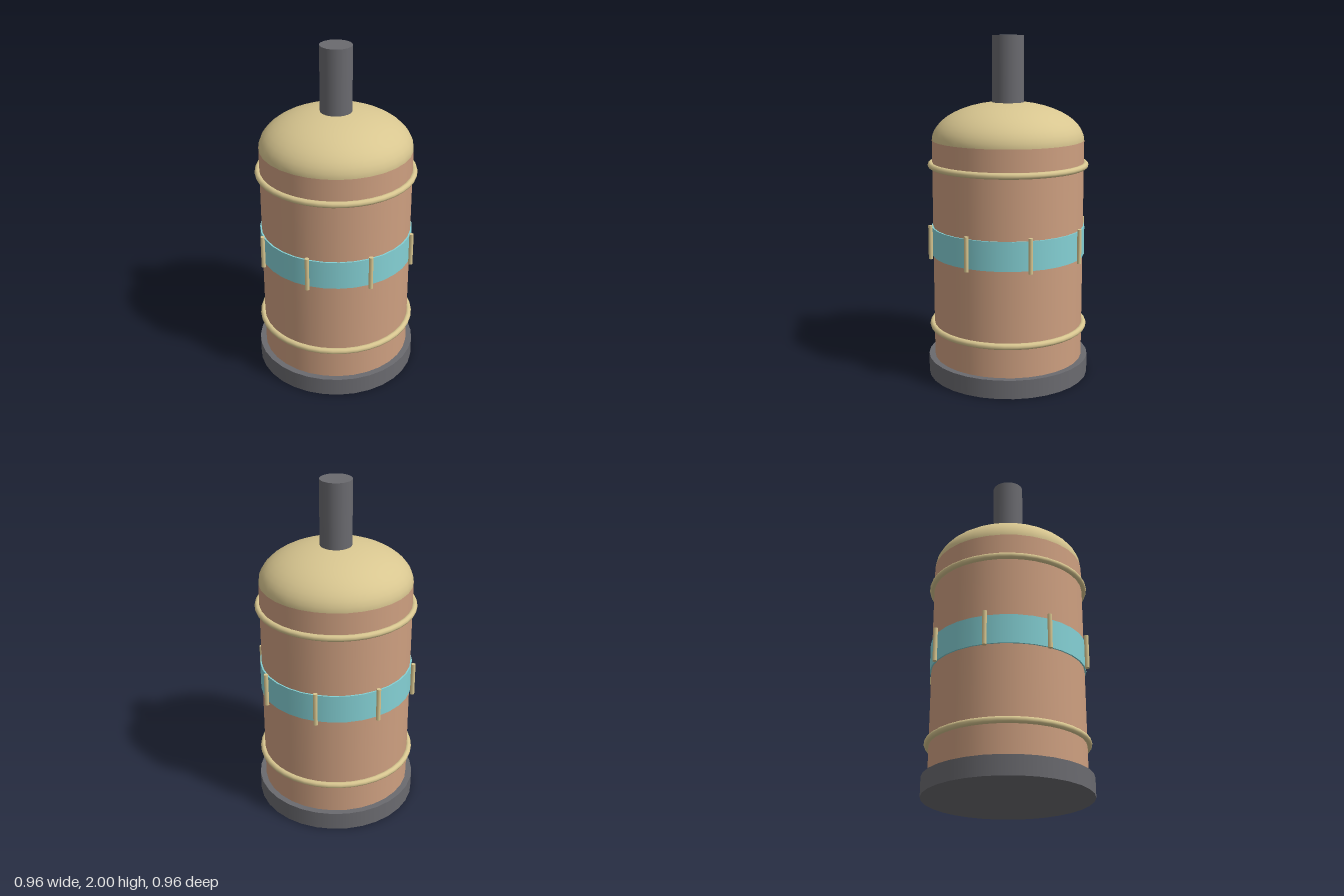
import * as THREE from 'three';

const material = (name, color) => {
  const m = new THREE.MeshStandardMaterial({ color });
  m.name = name;
  return m;
};

export function createModel() {
  const copper = material('copper', 0xcd9f80);
  const brass = material('brass', 0xd8c690);
  const glass = material('teal glass', 0x84d0d4);
  const iron = material('dark iron', 0x6a6a6f);

  const group = new THREE.Group();
  group.name = 'boilerTank';
  const add = (name, geometry, mat, x = 0, y = 0, z = 0) => {
    const mesh = new THREE.Mesh(geometry, mat);
    mesh.name = name;
    mesh.position.set(x, y, z);
    group.add(mesh);
    return mesh;
  };
  // Upright cylinder spanning y0 to y1
  const drum = (name, r, y0, y1, sides, mat, x = 0, z = 0) =>
    add(name, new THREE.CylinderGeometry(r, r, y1 - y0, sides), mat, x, (y0 + y1) / 2, z);

  // Foot, tank body and chimney
  drum('base', 0.478, 0, 0.11, 32, iron);
  drum('body', 0.442, 0.11, 1.405, 32, copper);
  drum('chimney', 0.092, 1.58, 2, 18, iron);

  // Flattened hemispherical lid
  const lid = add('dome', new THREE.SphereGeometry(0.442, 32, 12, 0, Math.PI * 2, 0, Math.PI / 2), brass, 0, 1.405, 0);
  lid.scale.y = 0.5;

  // Hoops around the body
  for (const [name, y] of [['lowerHoop', 0.3], ['upperHoop', 1.262]]) {
    const hoop = add(name, new THREE.TorusGeometry(0.451, 0.018, 10, 40), brass, 0, y, 0);
    hoop.rotation.x = Math.PI / 2;
  }

  // Sight band with eight upright rods
  drum('sightBand', 0.451, 0.732, 0.9, 32, glass);
  for (let i = 0; i < 8; i++) {
    const a = (i / 8) * Math.PI * 2;
    drum('bandRod', 0.013, 0.72, 0.92, 8, brass, Math.sin(a) * 0.466, Math.cos(a) * 0.466);
  }
  return group;
}
